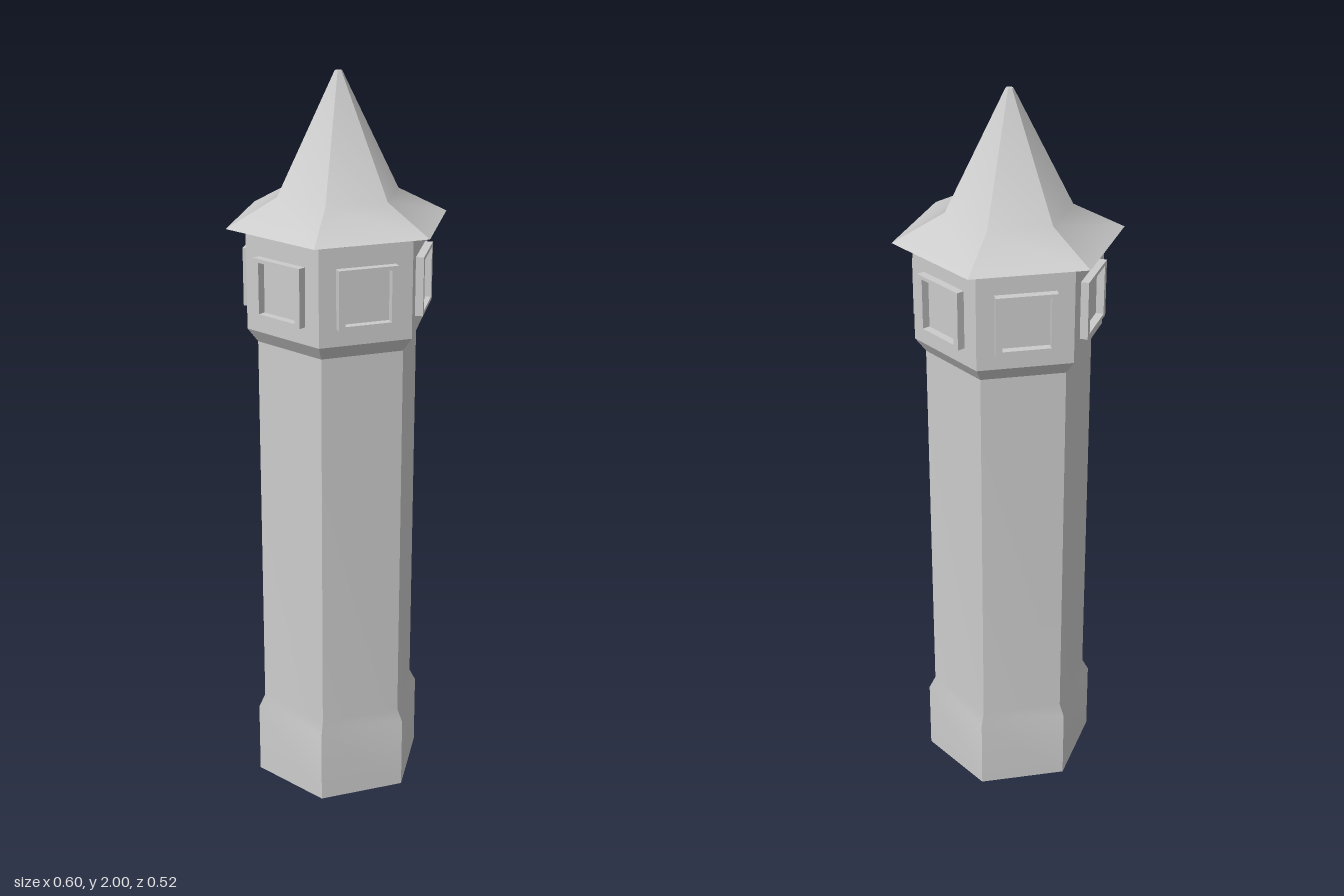
import * as THREE from 'three';
import { mergeGeometries } from 'three/addons/utils/BufferGeometryUtils.js';

const SIDES = 6;
const STEP = (Math.PI * 2) / SIDES;
const material = new THREE.MeshStandardMaterial({ color: 0xcccccc, side: THREE.DoubleSide });

// Six-sided shell from a [radius, height] profile: smooth up each side, sharp at the corners.
function hexShell(name, profile) {
  const points = profile.map(([r, y]) => new THREE.Vector2(r, y));
  const facets = [];
  for (let i = 0; i < SIDES; i++) {
    const facet = new THREE.LatheGeometry(points, 1, (i - 0.5) * STEP, STEP);
    facet.computeVertexNormals();
    facets.push(facet);
  }
  const mesh = new THREE.Mesh(mergeGeometries(facets), material);
  mesh.name = name;
  return mesh;
}

function rectangle(target, w, h) {
  target.moveTo(-w, -h);
  target.lineTo(w, -h);
  target.lineTo(w, h);
  target.lineTo(-w, h);
  target.closePath();
  return target;
}

export function createModel() {
  const tower = new THREE.Group();
  tower.name = 'tower';

  // Open-bottomed shaft with a wider plinth
  tower.add(hexShell('shaft', [[0.24, 0], [0.24, 0.205], [0.222, 0.24], [0.222, 1.31]]));

  // Flared corbel and the lookout room above it
  tower.add(hexShell('corbel', [[0.222, 1.31], [0.25, 1.348]]));
  tower.add(hexShell('lookoutWall', [[0.25, 1.348], [0.25, 1.605]]));

  // Roof with spreading eaves and a tiny flat tip
  tower.add(hexShell('eavesUnderside', [[0.25, 1.605], [0.302, 1.618]]));
  tower.add(hexShell('roof', [[0.302, 1.618], [0.165, 1.69], [0.01, 2]]));
  tower.add(hexShell('roofTip', [[0.01, 2], [0, 2]]));

  // Raised window frame on each side of the lookout room
  const frameShape = rectangle(new THREE.Shape(), 0.079, 0.078);
  frameShape.holes.push(rectangle(new THREE.Path(), 0.062, 0.068));
  const frameGeometry = new THREE.ExtrudeGeometry(frameShape, { depth: 0.022, bevelEnabled: false });
  frameGeometry.translate(0, 1.473, 0.2155);
  for (let i = 0; i < SIDES; i++) {
    const frame = new THREE.Mesh(frameGeometry, material);
    frame.name = 'windowFrame';
    frame.rotation.y = i * STEP;
    tower.add(frame);
  }

  return tower;
}
